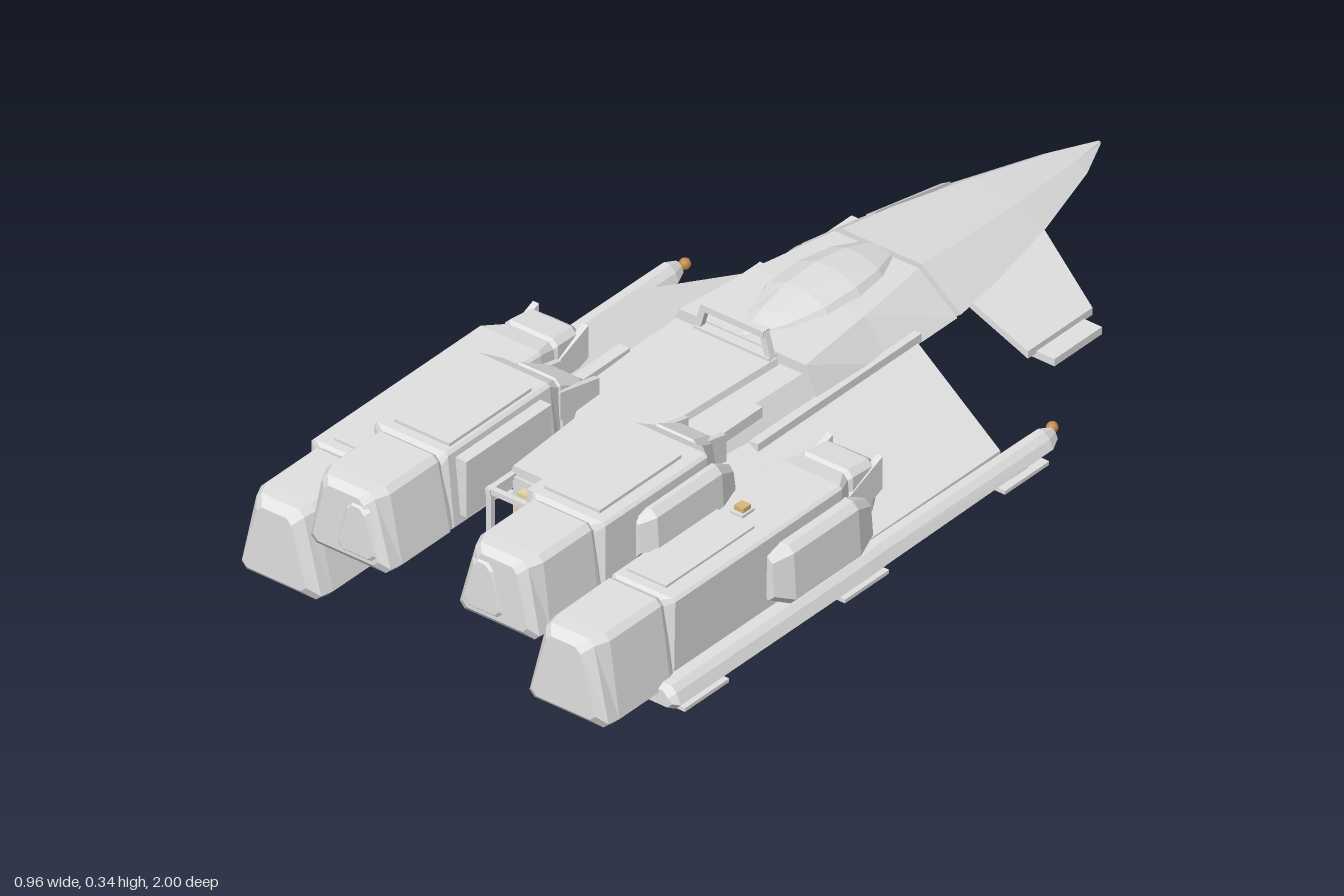
import * as THREE from 'three';
import { ConvexGeometry } from 'three/addons/geometries/ConvexGeometry.js';

const mat = (name, color) => {
  const m = new THREE.MeshStandardMaterial({ color });
  m.name = name;
  return m;
};

export function createModel() {
  const root = new THREE.Group();
  root.name = 'starship';
  const hull = mat('hull grey', 0xe0e0e0);
  const gold = mat('pale gold', 0xe6d5a2);
  const tan = mat('marker tan', 0xd8b878);
  const amber = mat('amber lamp', 0xc08a48);

  const add = (name, geo, m = hull) => {
    const mesh = new THREE.Mesh(geo, m);
    mesh.name = name;
    root.add(mesh);
    return mesh;
  };

  // box given by its ranges; s mirrors it
  const box = (name, x0, x1, y0, y1, z0, z1, s = 1, m = hull) =>
    add(name, new THREE.BoxGeometry(x1 - x0, y1 - y0, z1 - z0), m)
      .position.set(s * (x0 + x1) / 2, (y0 + y1) / 2, (z0 + z1) / 2);

  // faceted skin through cross-sections [z, counterclockwise points], rear-most last
  const loft = (name, sections, s = 1, m = hull) => {
    const rings = sections.map(([z, pts]) => {
      const r = pts.map(([x, y]) => [s * x, y, z]);
      return s < 0 ? r.reverse() : r;
    });
    const v = [], n = rings[0].length;
    const tri = (a, b, c) => v.push(...a, ...b, ...c);
    for (let i = 0; i < rings.length - 1; i++)
      for (let j = 0; j < n; j++) {
        const k = (j + 1) % n, A = rings[i], B = rings[i + 1];
        tri(A[j], A[k], B[k]);
        tri(A[j], B[k], B[j]);
      }
    const first = rings[0], last = rings[rings.length - 1];
    for (let j = 1; j < n - 1; j++) {
      tri(first[0], first[j + 1], first[j]);
      tri(last[0], last[j], last[j + 1]);
    }
    const g = new THREE.BufferGeometry();
    g.setAttribute('position', new THREE.Float32BufferAttribute(v, 3));
    g.computeVertexNormals();
    return add(name, g, m);
  };

  // chamfered trapezoid: bottom x range, top x range, y range
  const trap = (z, b0, b1, t0, t1, y0, y1, c = 0.012) => [z, [
    [b0 + c, y0], [b1 - c, y0], [b1, y0 + c], [t1, y1 - c],
    [t1 - c, y1], [t0 + c, y1], [t0, y1 - c], [b0, y0 + c]]];

  // convex slab: outline points thickened vertically
  const slab = (name, pts, t, s = 1) => add(name, new ConvexGeometry(pts.flatMap(([x, y, z]) =>
    [new THREE.Vector3(s * x, y - t / 2, z), new THREE.Vector3(s * x, y + t / 2, z)])));

  // square beam between two points
  const beam = (name, a, b, w, s = 1) => {
    const p = new THREE.Vector3(s * a[0], a[1], a[2]), q = new THREE.Vector3(s * b[0], b[1], b[2]);
    const mesh = add(name, new THREE.BoxGeometry(w, w, p.distanceTo(q)));
    mesh.position.copy(p).add(q).multiplyScalar(0.5);
    mesh.lookAt(q);
  };

  // fuselage section: half widths at bottom, edge, top
  const body = (z, wb, we, wt, yb, ye, yt) => [z, [
    [-wb, yb], [wb, yb], [we, ye], [wt, yt], [-wt, yt], [-we, ye]]];

  // nose
  loft('nose', [
    body(-1, 0.002, 0.004, 0.002, 0.141, 0.145, 0.148),
    body(-0.9, 0.025, 0.052, 0.026, 0.132, 0.149, 0.165),
    body(-0.7, 0.06, 0.117, 0.058, 0.118, 0.158, 0.196),
    body(-0.5, 0.085, 0.165, 0.085, 0.106, 0.165, 0.224),
    body(-0.36, 0.1, 0.19, 0.095, 0.098, 0.17, 0.242)]);
  slab('nosePanel', [[-0.095, 0.178, -0.68], [-0.118, 0.164, -0.68],
    [-0.095, 0.224, -0.46], [-0.118, 0.208, -0.46]], 0.009);
  slab('noseBellyPanel', [[-0.045, 0.112, -0.64], [0.045, 0.112, -0.64],
    [0.045, 0.1, -0.42], [-0.045, 0.1, -0.42]], 0.012);
  // cockpit section, rear body and tapering deck
  loft('cockpitBody', [
    body(-0.346, 0.1, 0.192, 0.1, 0.092, 0.17, 0.242),
    body(-0.15, 0.1, 0.192, 0.13, 0.09, 0.17, 0.25),
    body(0.048, 0.1, 0.185, 0.15, 0.09, 0.17, 0.25)]);
  loft('rearBody', [
    body(0.058, 0.1, 0.185, 0.15, 0.09, 0.17, 0.236),
    body(0.34, 0.085, 0.172, 0.14, 0.098, 0.165, 0.234),
    body(0.44, 0.06, 0.1, 0.085, 0.1, 0.165, 0.23)]);
  loft('rearDeck', [
    body(0.062, 0.09, 0.1, 0.094, 0.2, 0.225, 0.25),
    body(0.645, 0.06, 0.07, 0.062, 0.2, 0.22, 0.245)]);
  box('tailCore', -0.052, 0.052, 0.1, 0.21, 0.39, 0.64);
  box('tailPanelFrame', -0.058, 0.058, 0.1, 0.225, 0.62, 0.65);
  loft('tailPanel', [0.65, 0.668].map(z => [z, [
    [-0.034, 0.112], [0.034, 0.112], [0.042, 0.18], [0.034, 0.21], [-0.034, 0.21], [-0.042, 0.18]]]), 1, gold);

  // canopy: slim faceted bubble
  const arch = (z, w, h) => [z, [[-w, 0.235], [w, 0.235], [w * 0.78, 0.235 + h * 0.6],
    [w * 0.28, 0.235 + h], [-w * 0.28, 0.235 + h], [-w * 0.78, 0.235 + h * 0.6]]];
  loft('canopy', [arch(-0.344, 0.045, 0.02), arch(-0.28, 0.075, 0.037), arch(-0.2, 0.09, 0.046),
    arch(-0.11, 0.086, 0.045), arch(-0.03, 0.055, 0.035), arch(0.046, 0.008, 0.018)]);

  // roll hoop behind the cockpit
  box('hoopBar', -0.075, 0.075, 0.294, 0.308, 0.062, 0.08);
  box('hoopSill', -0.09, 0.09, 0.245, 0.256, 0.06, 0.082);

  // keel with ladder ribs
  box('keel', -0.068, 0.068, 0.076, 0.102, -0.32, 0.58);
  box('keelPlate', -0.038, 0.038, 0.06, 0.08, -0.2, 0.45);
  for (let i = 0; i < 9; i++) box('keelRib', -0.07, 0.07, 0.068, 0.078, -0.3 + i * 0.1, -0.27 + i * 0.1);
  // tail frame cross bars
  box('tailFrameBar', -0.068, 0.068, 0.1, 0.112, 0.706, 0.718);
  box('tailFrameBar', -0.068, 0.068, 0.22, 0.232, 0.706, 0.718);

  for (const s of [1, -1]) {
    beam('hoopLeg', [0.085, 0.25, 0.071], [0.07, 0.302, 0.071], 0.014, s);
    // tail frame
    beam('tailFrameRail', [0.062, 0.105, 0.55], [0.062, 0.105, 0.72], 0.014, s);
    beam('tailFrameRail', [0.062, 0.225, 0.6], [0.062, 0.225, 0.72], 0.012, s);
    beam('tailFramePost', [0.062, 0.1, 0.712], [0.062, 0.23, 0.712], 0.012, s);

    // nose winglet with skid
    slab('winglet', [[0.1, 0.14, -0.71], [0.1, 0.14, -0.45], [0.255, 0.048, -0.475], [0.255, 0.048, -0.665]], 0.016, s);
    box('wingletSkid', 0.215, 0.298, 0.028, 0.044, -0.64, -0.5, s);

    // main wing
    slab('wing', [[0.15, 0.182, -0.24], [0.15, 0.182, 0.4], [0.43, 0.05, 0.4], [0.43, 0.05, -0.178]], 0.022, s);
    beam('wingRootRail', [0.182, 0.18, -0.24], [0.182, 0.18, 0.24], 0.02, s);
    box('deckRail', 0.145, 0.17, 0.22, 0.243, 0.2, 0.38, s);
    // wing tip pod
    loft('wingTipPod', [
      trap(-0.31, 0.43, 0.46, 0.435, 0.455, 0.027, 0.05, 0.006),
      trap(-0.28, 0.418, 0.474, 0.425, 0.465, 0.018, 0.06),
      trap(0.2, 0.413, 0.476, 0.422, 0.466, 0.015, 0.062),
      trap(0.26, 0.393, 0.478, 0.412, 0.468, 0.015, 0.062),
      trap(0.82, 0.393, 0.478, 0.412, 0.468, 0.015, 0.062),
      trap(0.835, 0.4, 0.47, 0.42, 0.46, 0.022, 0.055)], s);
    const lamp = add('podLamp', new THREE.SphereGeometry(0.012, 10, 8), amber);
    lamp.position.set(s * 0.437, 0.042, -0.322);
    for (const z of [-0.27, 0.2, 0.67]) {
      box('landingPad', 0.4, 0.472, 0, 0.008, z, z + 0.13, s);
      box('padStem', 0.425, 0.455, 0.005, 0.02, z + 0.04, z + 0.09, s);
    }

    // engine pylons
    slab('innerPylon', [[0.05, 0.19, 0.42], [0.05, 0.19, 0.58], [0.17, 0.2, 0.66], [0.17, 0.2, 0.5]], 0.016, s);
    beam('lowerStrut', [0.05, 0.1, 0.5], [0.27, 0.052, 0.54], 0.014, s);
    beam('upperStrut', [0.05, 0.12, 0.5], [0.15, 0.175, 0.54], 0.02, s);

    // outer engine
    loft('outerIntake', [
      trap(0.14, 0.31, 0.395, 0.315, 0.39, 0.11, 0.185),
      trap(0.175, 0.292, 0.412, 0.292, 0.412, 0.09, 0.212),
      trap(0.235, 0.288, 0.414, 0.288, 0.414, 0.07, 0.218),
      trap(0.25, 0.3, 0.4, 0.3, 0.4, 0.07, 0.205)], s);
    for (const x of [0.284, 0.402]) // raked cheeks
      slab('intakeCheek', [[x, 0.175, 0.15], [x + 0.014, 0.175, 0.15], [x, 0.13, 0.26], [x + 0.014, 0.13, 0.26]], 0.07, s);
    loft('outerEngine', [
      trap(0.245, 0.275, 0.42, 0.29, 0.41, 0.055, 0.215),
      trap(0.29, 0.26, 0.43, 0.283, 0.433, 0.042, 0.222, 0.006),
      trap(0.78, 0.26, 0.43, 0.283, 0.433, 0.042, 0.222, 0.006),
      trap(0.79, 0.27, 0.42, 0.29, 0.41, 0.05, 0.212)], s);
    loft('outerNozzle', [
      trap(0.785, 0.25, 0.432, 0.285, 0.41, 0.045, 0.215),
      trap(0.8, 0.244, 0.438, 0.28, 0.415, 0.035, 0.222),
      trap(0.95, 0.244, 0.438, 0.282, 0.415, 0.035, 0.222),
      trap(0.98, 0.248, 0.436, 0.288, 0.402, 0.038, 0.22),
      trap(1, 0.268, 0.42, 0.303, 0.385, 0.058, 0.205)], s);
    loft('outerSidePod', [
      trap(0.22, 0.415, 0.45, 0.415, 0.445, 0.075, 0.16),
      trap(0.28, 0.415, 0.47, 0.415, 0.464, 0.065, 0.192, 0.014),
      trap(0.47, 0.415, 0.47, 0.415, 0.464, 0.065, 0.192, 0.014),
      trap(0.51, 0.415, 0.45, 0.415, 0.445, 0.085, 0.18)], s);
    box('outerTopPlate', 0.3, 0.395, 0.22, 0.227, 0.5, 0.76, s);
    box('markerBase', 0.328, 0.358, 0.22, 0.228, 0.455, 0.49, s);
    box('marker', 0.332, 0.354, 0.226, 0.238, 0.461, 0.483, s, tan);
    box('bellyPlate', 0.275, 0.41, 0.034, 0.044, 0.35, 0.72, s);
    box('bellySkid', 0.248, 0.335, 0.019, 0.035, 0.46, 0.62, s);
    for (const z of [0.38, 0.66, 0.84, 0.91]) box('bellyRib', 0.28, 0.405, 0.03, 0.038, z, z + 0.025, s);

    // inner engine
    loft('innerIntake', [
      trap(0.345, 0.12, 0.18, 0.125, 0.175, 0.2, 0.25),
      trap(0.38, 0.105, 0.205, 0.11, 0.2, 0.185, 0.28),
      trap(0.45, 0.1, 0.225, 0.108, 0.22, 0.18, 0.315),
      trap(0.462, 0.11, 0.22, 0.12, 0.21, 0.18, 0.305)], s);
    for (const x of [0.1, 0.19]) // raked cheeks
      slab('innerIntakeCheek', [[x, 0.24, 0.345], [x + 0.012, 0.24, 0.345], [x, 0.265, 0.46], [x + 0.012, 0.265, 0.46]], 0.06, s);
    loft('innerEngine', [
      trap(0.458, 0.1, 0.262, 0.106, 0.25, 0.175, 0.315),
      trap(0.49, 0.085, 0.275, 0.1, 0.275, 0.166, 0.33, 0.006),
      trap(0.79, 0.085, 0.275, 0.1, 0.275, 0.166, 0.33, 0.006),
      trap(0.8, 0.095, 0.262, 0.106, 0.255, 0.175, 0.318)], s);
    box('innerTopPlate', 0.112, 0.245, 0.328, 0.337, 0.53, 0.77, s);
    box('innerSideStep', 0.072, 0.1, 0.19, 0.312, 0.52, 0.77, s);
    loft('innerNozzle', [
      trap(0.795, 0.085, 0.27, 0.112, 0.252, 0.17, 0.32),
      trap(0.81, 0.079, 0.274, 0.108, 0.257, 0.163, 0.33),
      trap(0.95, 0.079, 0.274, 0.108, 0.257, 0.163, 0.33),
      trap(0.98, 0.082, 0.272, 0.12, 0.245, 0.165, 0.328),
      trap(0.995, 0.1, 0.255, 0.135, 0.23, 0.182, 0.315)], s);
    loft('innerNozzlePlate', [
      trap(0.99, 0.1, 0.2, 0.122, 0.178, 0.185, 0.305),
      trap(1, 0.108, 0.192, 0.13, 0.17, 0.195, 0.298)], s);
    loft('innerSidePod', [
      trap(0.42, 0.262, 0.285, 0.262, 0.28, 0.21, 0.27),
      trap(0.48, 0.262, 0.306, 0.262, 0.301, 0.2, 0.306, 0.014),
      trap(0.67, 0.262, 0.306, 0.262, 0.301, 0.2, 0.306, 0.014),
      trap(0.7, 0.262, 0.285, 0.262, 0.28, 0.21, 0.295)], s);
  }
  return root;
}
